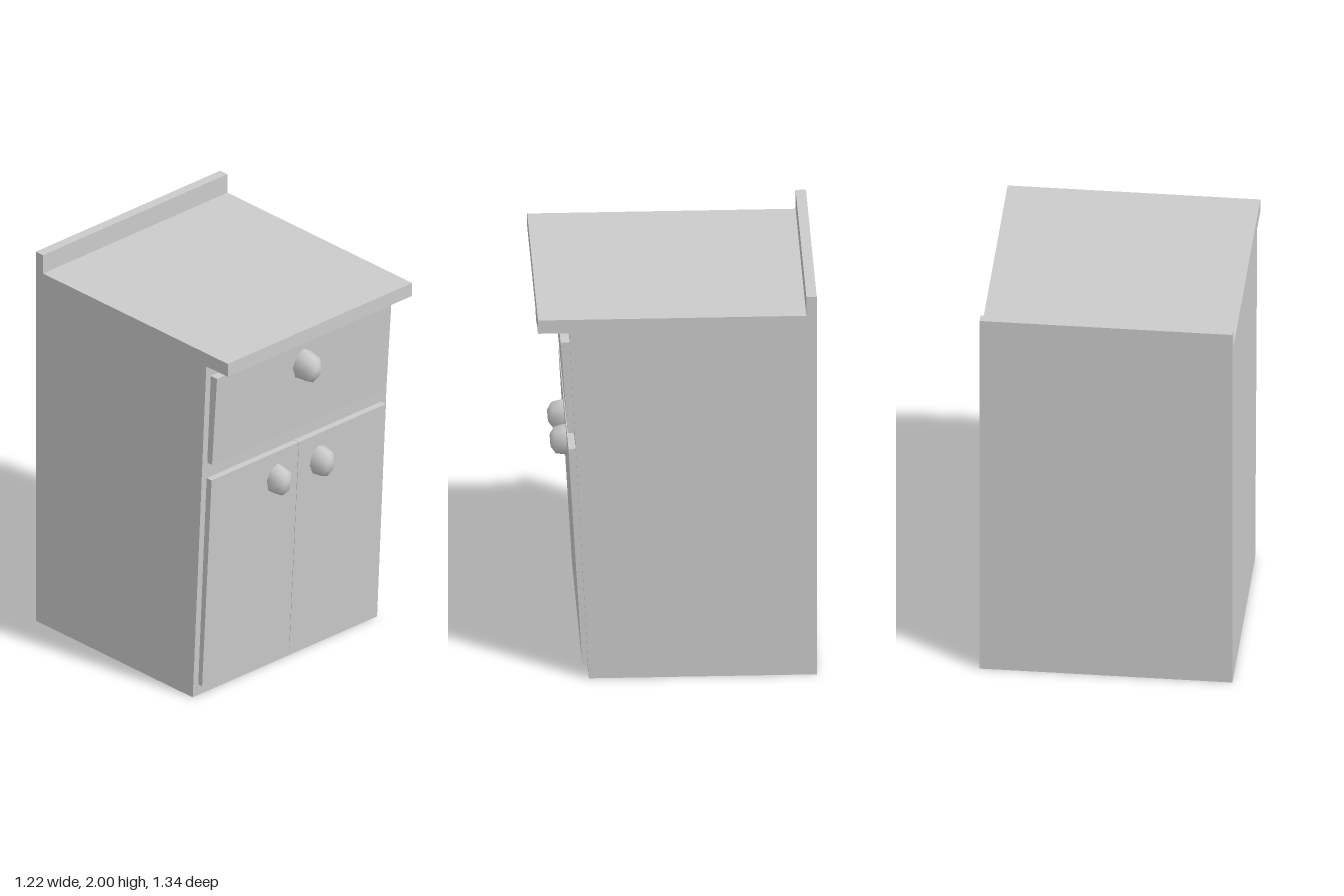
import * as THREE from 'three';

const grey = new THREE.MeshStandardMaterial({ color: 0xcccccc });
const greyDouble = new THREE.MeshStandardMaterial({ color: 0xcccccc, side: THREE.DoubleSide });

// Side profile given as [z, y] points, extruded across x0..x1
function extrudeAcross(name, profile, x0, x1) {
  const shape = new THREE.Shape(profile.map(([z, y]) => new THREE.Vector2(-z, y)));
  const geo = new THREE.ExtrudeGeometry(shape, { depth: x1 - x0, bevelEnabled: false });
  geo.rotateY(Math.PI / 2).translate(x0, 0, 0);
  const mesh = new THREE.Mesh(geo, grey);
  mesh.name = name;
  return mesh;
}

// Eight-sided domed knob, slightly taller than wide, tilted with the sloping front
function knob(name, x, y, z, rx, ry, depth, roll) {
  const profile = [[0.92, -0.3], [1, 0], [0.86, 0.72], [0.4, 1], [0, 1.02]]
    .map(([r, h]) => new THREE.Vector2(r, h));
  const geo = new THREE.LatheGeometry(profile, 8);
  geo.rotateX(Math.PI / 2).rotateZ(roll).scale(rx, ry, depth);
  const mesh = new THREE.Mesh(geo, grey);
  mesh.name = name;
  mesh.position.set(x, y, z);
  mesh.rotation.x = 0.06;
  return mesh;
}

// Thin open skirt below the recessed floor
function skirt(w, back, frontLow, frontHigh, h) {
  const corners = [[-w, 0], [w, 0], [w, 1], [-w, 1]];
  const pos = [];
  corners.forEach(([x, f], i) => {
    const [x2, f2] = corners[(i + 1) % 4];
    const low = (k) => (k ? frontLow : back);
    const high = (k) => (k ? frontHigh : back);
    const a = [x, 0, low(f)], b = [x2, 0, low(f2)];
    const c = [x2, h, high(f2)], d = [x, h, high(f)];
    pos.push(...a, ...c, ...b, ...a, ...d, ...c);
  });
  const geo = new THREE.BufferGeometry();
  geo.setAttribute('position', new THREE.Float32BufferAttribute(pos, 3));
  geo.computeVertexNormals();
  const mesh = new THREE.Mesh(geo, greyDouble);
  mesh.name = 'baseSkirt';
  return mesh;
}

export function createModel() {
  const model = new THREE.Group();
  model.name = 'cabinet';
  const W = 0.61, floor = 0.07;

  // Carcass, overhanging worktop and rear upstand share one profile
  model.add(extrudeAcross('body', [
    [-0.67, floor], [0.429, floor], [0.52, 1.83], [0.67, 1.83],
    [0.67, 1.9], [-0.62, 1.9], [-0.62, 2], [-0.67, 2],
  ], -W, W));
  model.add(skirt(W, -0.67, 0.425, 0.429, floor));

  // Drawer front
  model.add(extrudeAcross('drawerFront', [
    [0.49, 1.285], [0.525, 1.285], [0.56, 1.765], [0.515, 1.765],
  ], -0.577, 0.577));
  model.add(knob('drawerKnob', 0, 1.637, 0.55, 0.066, 0.082, 0.103, 0));

  // Pair of doors
  for (const s of [-1, 1]) {
    const side = s > 0 ? 'left' : 'right';
    model.add(extrudeAcross(side + 'Door', [
      [0.429, 0.06], [0.456, 0.06], [0.522, 1.2], [0.485, 1.2],
    ], s > 0 ? 0.001 : -0.577, s > 0 ? 0.577 : -0.001));
    model.add(knob(side + 'DoorKnob', s * 0.142, 1.052, 0.512, 0.062, 0.08, 0.08, s * 0.12));
  }
  return model;
}
